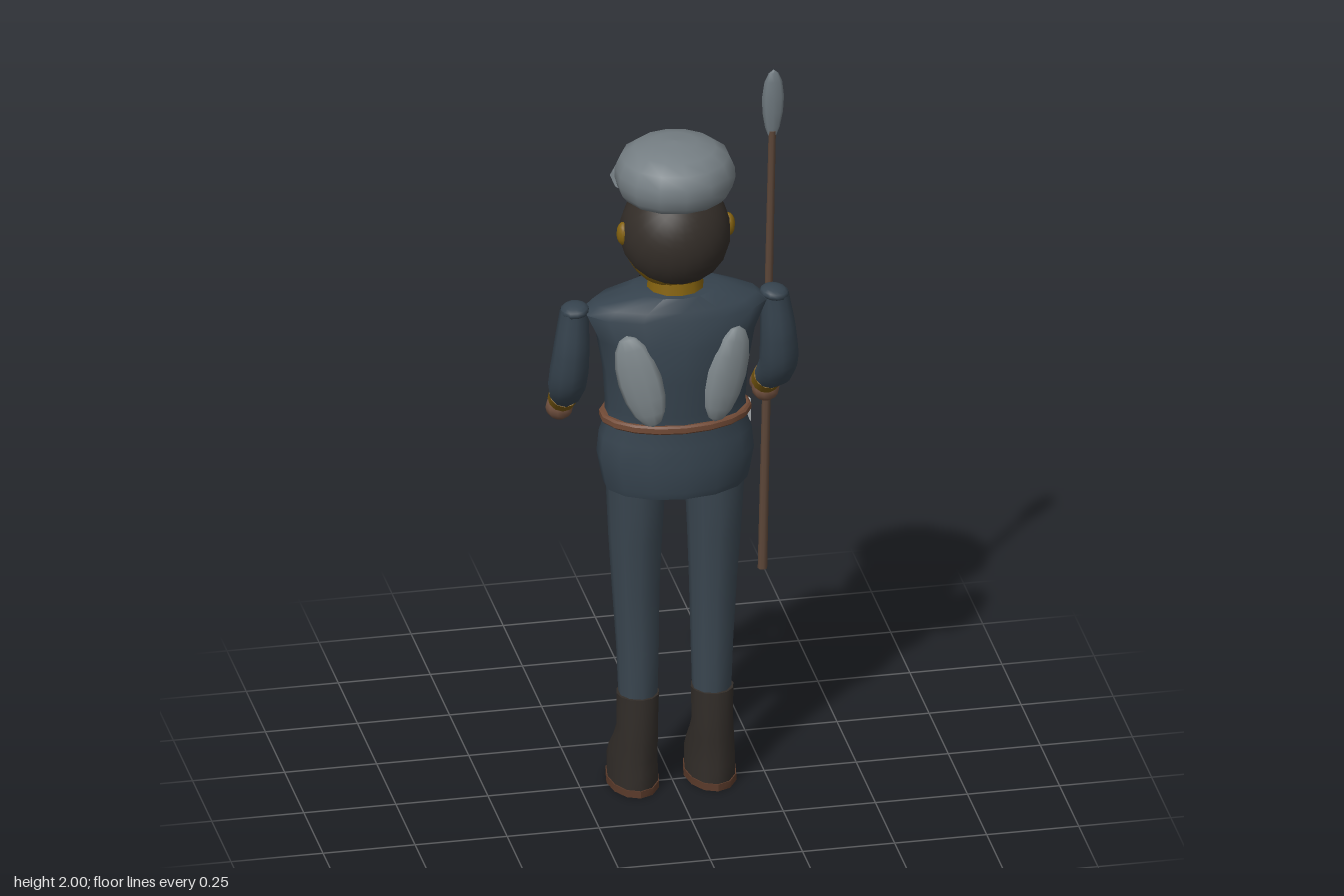
import * as THREE from 'three';
import { toCreasedNormals } from 'three/addons/utils/BufferGeometryUtils.js';

const C = {
  jacket: 0x36434e, trousers: 0x3a4650, hat: 0x757e83, skin: 0x84620f, hair: 0x332d28,
  boot: 0x322d29, sole: 0x5a3a2a, belt: 0x714a36, glove: 0x70503f, cuff: 0x7a5a10,
  pad: 0x7d868a, badge: 0xc9bba5, wood: 0x5c4638, blade: 0x6f797f, metal: 0xb4b8ba, black: 0x17130f,
};

export function createModel() {
  const root = new THREE.Group();

  const add = (name, geo, color, pos = [0, 0, 0], rot = [0, 0, 0], double = false) => {
    const mat = new THREE.MeshStandardMaterial({ color });
    if (double) mat.side = THREE.DoubleSide;
    const mesh = new THREE.Mesh(geo, mat);
    mesh.name = name;
    mesh.position.set(...pos);
    mesh.rotation.set(...rot);
    root.add(mesh);
    return mesh;
  };

  const ball = (rx, ry, rz, w = 16, h = 12) => new THREE.SphereGeometry(1, w, h).scale(rx, ry, rz);

  // Stacked elliptical rings [y, cx, cz, rx, rz], bottom to top, closed at both ends
  const loft = (rings, n = 12, crease = 0.7) => {
    const pos = [], idx = [];
    for (const [y, cx, cz, rx, rz] of rings)
      for (let i = 0; i < n; i++) {
        const a = (i / n) * Math.PI * 2;
        pos.push(cx + Math.sin(a) * rx, y, cz + Math.cos(a) * rz);
      }
    const m = rings.length;
    for (let j = 0; j < m - 1; j++)
      for (let i = 0; i < n; i++) {
        const a = j * n + i, b = j * n + (i + 1) % n;
        idx.push(a, b, b + n, a, b + n, a + n);
      }
    for (const j of [0, m - 1]) {
      const c = pos.length / 3;
      pos.push(rings[j][1], rings[j][0], rings[j][2]);
      for (let i = 0; i < n; i++) {
        const a = j * n + i, b = j * n + (i + 1) % n;
        if (j) idx.push(a, b, c); else idx.push(b, a, c);
      }
    }
    const g = new THREE.BufferGeometry();
    g.setAttribute('position', new THREE.Float32BufferAttribute(pos, 3));
    g.setIndex(idx);
    return toCreasedNormals(g, crease);
  };

  // Tube whose radius varies along its length
  const limb = (points, radii, sides = 10, steps = 14) => {
    const curve = new THREE.CatmullRomCurve3(points.map(p => new THREE.Vector3(...p)));
    const g = new THREE.TubeGeometry(curve, steps, 1, sides);
    const p = g.attributes.position, v = new THREE.Vector3();
    for (let i = 0; i <= steps; i++) {
      const c = curve.getPointAt(i / steps);
      const f = (i / steps) * (radii.length - 1), k = Math.min(Math.floor(f), radii.length - 2);
      const r = THREE.MathUtils.lerp(radii[k], radii[k + 1], f - k);
      for (let j = 0; j <= sides; j++) {
        const q = i * (sides + 1) + j;
        v.fromBufferAttribute(p, q).sub(c).multiplyScalar(r).add(c);
        p.setXYZ(q, v.x, v.y, v.z);
      }
    }
    return g;
  };

  // Rod between two points
  const rod = (name, a, b, r0, r1, color, sides = 8) => {
    const A = new THREE.Vector3(...a), B = new THREE.Vector3(...b), d = B.clone().sub(A);
    const m = add(name, new THREE.CylinderGeometry(r1, r0, d.length(), sides), color, A.add(B).multiplyScalar(0.5).toArray());
    m.quaternion.setFromUnitVectors(new THREE.Vector3(0, 1, 0), d.normalize());
    return m;
  };

  // Jacket with flared skirt and sloping shoulders
  add('jacket', loft([
    [0.91, 0, 0.04, 0.195, 0.132], [0.93, 0, 0.04, 0.2, 0.138], [1.0, 0, 0.04, 0.213, 0.136],
    [1.06, 0, 0.04, 0.207, 0.132], [1.1, 0, 0.04, 0.193, 0.126], [1.15, 0, 0.04, 0.19, 0.128],
    [1.25, 0, 0.04, 0.197, 0.136], [1.35, 0, 0.04, 0.215, 0.136], [1.425, 0, 0.035, 0.25, 0.123],
    [1.45, 0, 0.035, 0.222, 0.115], [1.485, 0, 0.04, 0.115, 0.095],
  ], 14, 1.0), C.jacket);
  add('belt', loft([[1.103, 0, 0.04, 0.2, 0.132], [1.108, 0, 0.04, 0.205, 0.137],
    [1.122, 0, 0.04, 0.205, 0.137], [1.127, 0, 0.04, 0.199, 0.132]], 18), C.belt);
  add('beltPouch', new THREE.BoxGeometry(0.025, 0.065, 0.042), C.metal, [0.197, 1.07, -0.02], [0, 0.3, 0]);
  add('beltFlask', new THREE.CylinderGeometry(0.012, 0.012, 0.05, 8), C.badge, [0.182, 1.085, -0.06]);

  // Neck, head and face
  add('neck', new THREE.CylinderGeometry(0.07, 0.08, 0.07, 12), C.skin, [0, 1.5, 0.04]);
  add('head', ball(0.14, 0.15, 0.125, 20, 14), C.skin, [0, 1.632, 0.032]);
  add('hair', new THREE.SphereGeometry(1, 20, 12, 0, Math.PI * 2, 0, Math.PI * 0.54)
    .rotateX(0.66).scale(0.149, 0.155, 0.143), C.hair, [0, 1.64, 0.038], [0, 0, 0], true);
  add('nose', ball(0.016, 0.016, 0.016, 10, 8), C.skin, [0, 1.64, -0.1]);
  const smile = new THREE.QuadraticBezierCurve3(new THREE.Vector3(-0.04, 1.585, -0.082),
    new THREE.Vector3(0, 1.562, -0.094), new THREE.Vector3(0.04, 1.585, -0.082));
  add('mouth', new THREE.TubeGeometry(smile, 8, 0.004, 5), C.black);

  // Cap with visor and badge
  const crown = [[0, 1.755], [0.14, 1.755], [0.153, 1.772], [0.161, 1.8], [0.16, 1.83], [0.145, 1.865],
    [0.11, 1.89], [0.06, 1.904], [0, 1.908]].map(p => new THREE.Vector2(...p));
  add('capCrown', new THREE.LatheGeometry(crown, 14).scale(1, 1, 0.98), C.hat, [0, 0, 0.037]);
  add('capVisor', new THREE.CylinderGeometry(0.15, 0.158, 0.014, 14), C.hat, [0, 1.775, -0.038]);
  add('capBadge', ball(0.038, 0.036, 0.014), C.badge, [0, 1.823, -0.122]);

  // Neck cord with a small whistle
  const cord = new THREE.CatmullRomCurve3([[-0.085, 1.478, -0.035], [-0.055, 1.45, -0.078], [0, 1.41, -0.103],
    [0.055, 1.45, -0.078], [0.085, 1.478, -0.035]].map(p => new THREE.Vector3(...p)));
  add('neckCord', new THREE.TubeGeometry(cord, 16, 0.005, 6), C.black);
  add('whistle', ball(0.013, 0.018, 0.011, 10, 8), C.metal, [0, 1.405, -0.108]);

  for (const s of [-1, 1]) {
    const side = s > 0 ? 'left' : 'right';

    // Face features
    add(side + 'Ear', ball(0.018, 0.033, 0.022, 10, 8), C.skin, [s * 0.143, 1.652, 0.048]);
    add(side + 'Eye', ball(0.015, 0.016, 0.008, 10, 8), C.black, [s * 0.05, 1.662, -0.084], [0, -s * 0.35, 0]);
    add(side + 'Brow', new THREE.CapsuleGeometry(0.005, 0.03, 3, 6), C.hair, [s * 0.052, 1.69, -0.084], [0, -s * 0.4, Math.PI / 2 - s * 0.15]);

    // Padded panels on chest and back
    add(side + 'ChestPanel', ball(0.066, 0.15, 0.03, 12, 10), C.pad, [s * 0.115, 1.29, -0.08], [0, -s * 0.4, -s * 0.06]);
    add(side + 'BackPanel', ball(0.06, 0.138, 0.027, 10, 8), C.pad, [s * 0.118, 1.26, 0.15], [0, s * 0.3, -s * 0.27]);

    // Sleeve, cuff and fist
    add(side + 'Sleeve', limb([[s * 0.272, 1.43, 0.03], [s * 0.282, 1.3, 0.034], [s * 0.286, 1.21, 0.01], [s * 0.276, 1.125, -0.085]],
      [0.038, 0.047, 0.052, 0.05, 0.036]), C.jacket, [0, 0, 0], [0, 0, 0], true);
    add(side + 'Shoulder', ball(0.039, 0.02, 0.044, 12, 8), C.jacket, [s * 0.271, 1.43, 0.03], [0, 0, -s * 0.1]);
    rod(side + 'Cuff', [s * 0.278, 1.137, -0.072], [s * 0.276, 1.105, -0.108], 0.041, 0.039, C.cuff, 12);
    add(side + 'Fist', ball(0.038, 0.037, 0.036, 10, 8), C.glove, [s * 0.28, 1.073, -0.124]);
    add(side + 'Thumb', ball(0.013, 0.025, 0.018, 8, 6), C.glove, [s * 0.252, 1.085, -0.14], [0.5, 0, 0]);

    // Trouser leg, boot and sole
    add(side + 'Trouser', loft([
      [0.27, s * 0.1, 0.035, 0.052, 0.056], [0.42, s * 0.101, 0.033, 0.057, 0.058], [0.6, s * 0.105, 0.027, 0.064, 0.068],
      [0.75, s * 0.107, 0.032, 0.072, 0.076], [0.95, s * 0.107, 0.038, 0.082, 0.084],
    ], 10, 0.9), C.trousers);
    add(side + 'Boot', loft([
      [0.018, s * 0.105, -0.016, 0.067, 0.112], [0.065, s * 0.105, -0.016, 0.067, 0.112], [0.1, s * 0.105, -0.005, 0.064, 0.1],
      [0.145, s * 0.103, 0.02, 0.06, 0.077], [0.19, s * 0.102, 0.036, 0.056, 0.062], [0.288, s * 0.101, 0.036, 0.058, 0.062],
    ], 12, 0.9), C.boot);
    add(side + 'Sole', loft([[0, s * 0.105, -0.016, 0.07, 0.115], [0.02, s * 0.105, -0.016, 0.07, 0.115]], 12), C.sole);
  }

  // Spear held upright in the left fist
  rod('spearShaft', [0.275, 0.53, -0.142], [0.302, 1.82, -0.144], 0.013, 0.01, C.wood);
  const leaf = [[0.009, 0], [0.02, 0.03], [0.028, 0.075], [0.03, 0.12], [0.024, 0.165], [0.013, 0.19], [0, 0.2]];
  add('spearBlade', new THREE.LatheGeometry(leaf.map(p => new THREE.Vector2(...p)), 8).scale(1, 1, 0.42),
    C.blade, [0.302, 1.8, -0.145], [0, 0, -0.02], true);

  return root;
}
